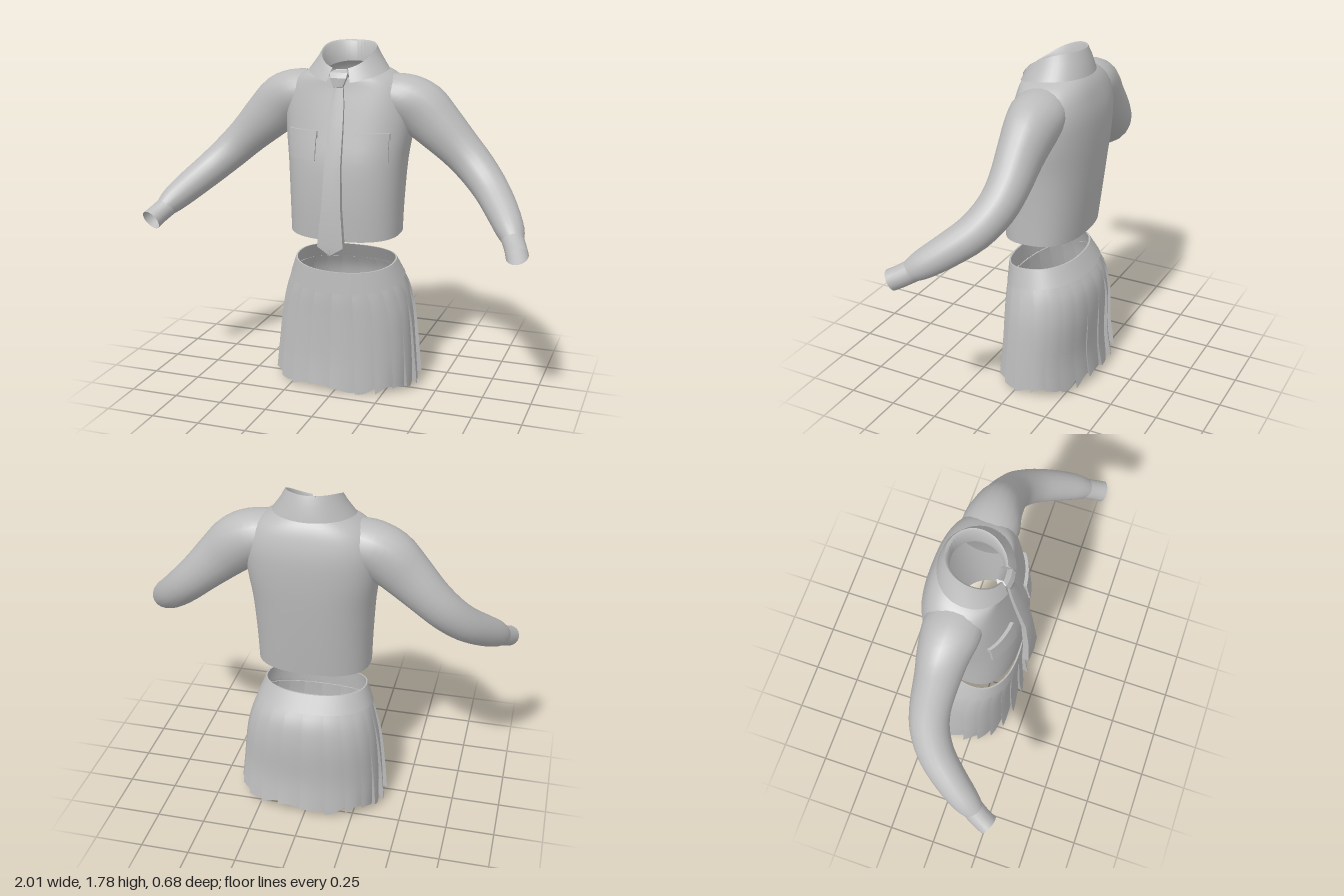
import * as THREE from 'three';
import { toCreasedNormals } from 'three/addons/utils/BufferGeometryUtils.js';

const cloth = new THREE.MeshStandardMaterial({ color: 0xbcbcbc, side: THREE.DoubleSide });
cloth.name = 'grey cloth';

// Skin a list of point rings; a crease angle keeps folds sharp
function loft(rings, closed = true, crease = 0) {
  const n = rings[0].length, index = [];
  for (let i = 0; i < rings.length - 1; i++) {
    for (let j = 0; j < (closed ? n : n - 1); j++) {
      const k = (j + 1) % n, a = i * n + j, b = i * n + k, c = a + n, d = b + n;
      index.push(a, c, b, b, c, d);
    }
  }
  const geo = new THREE.BufferGeometry().setFromPoints(rings.flat());
  geo.setIndex(index);
  geo.computeVertexNormals();
  return crease ? toCreasedNormals(geo, crease) : geo;
}

function add(group, name, geo) {
  const mesh = new THREE.Mesh(geo, cloth);
  mesh.name = name;
  group.add(mesh);
  return mesh;
}

const V = (x, y, z) => new THREE.Vector3(x, y, z);
const spow = (v, p) => Math.sign(v) * Math.abs(v) ** p;

// Rounded-box outline point: half width w, front zf, back zb, front lowered by drop
function outline([y, w, zf, zb, drop = 0], a, n, grow = 0) {
  const s = spow(Math.sin(a), 2 / n), c = spow(Math.cos(a), 2 / n);
  return V((w + grow) * c, y - drop * ((1 + s) / 2) ** 2, (zf + zb) / 2 + ((zf - zb) / 2 + grow) * s);
}
const ring = (row, n, grow, count = 56) =>
  Array.from({ length: count }, (_, j) => outline(row, (j / count) * Math.PI * 2, n, grow));

// Smoothly interpolate a table of rows
function sampleRows(rows, steps) {
  const out = [];
  for (let i = 0; i < rows.length - 1; i++) {
    for (let s = 0; s < steps; s++) {
      const at = (k) => rows[Math.min(Math.max(i + k, 0), rows.length - 1)];
      const t = s / steps;
      out.push(rows[i].map((_, c) => {
        const [p0, p1, p2, p3] = [-1, 0, 1, 2].map((k) => at(k)[c]);
        const m1 = (p2 - p0) / 2, m2 = (p3 - p1) / 2;
        return p1 + m1 * t + (3 * (p2 - p1) - 2 * m1 - m2) * t * t + (2 * (p1 - p2) + m1 + m2) * t ** 3;
      }));
    }
  }
  out.push(rows[rows.length - 1]);
  return out;
}

// Shirt body: y, half width, front z, back z, front drop
const BODY = sampleRows([
  [0.835, 0.288, 0.165, -0.24, 0.02],
  [1.0, 0.293, 0.175, -0.262, 0],
  [1.2, 0.305, 0.168, -0.285, 0],
  [1.35, 0.325, 0.138, -0.297, 0],
  [1.48, 0.33, 0.11, -0.297, 0],
  [1.57, 0.305, 0.09, -0.28, 0],
  [1.63, 0.25, 0.082, -0.258, 0.01],
  [1.67, 0.18, 0.078, -0.228, 0.04],
  [1.69, 0.132, 0.065, -0.195, 0.07],
], 3);

// Front surface of the shirt at x, y
function frontZ(x, y) {
  const i = Math.max(1, BODY.findIndex((r) => r[0] > y));
  const t = (y - BODY[i - 1][0]) / (BODY[i][0] - BODY[i - 1][0]);
  const [, w, f, b] = BODY[i].map((v, c) => THREE.MathUtils.lerp(BODY[i - 1][c], v, t));
  return (f + b) / 2 + ((f - b) / 2) * (1 - Math.min(1, Math.abs(x / w)) ** 2.5) ** 0.4;
}

// Box wrapped over the shirt front
function frontPatch(x, y, w, h, d) {
  const geo = new THREE.BoxGeometry(w, h, d, 8, 4, 1).translate(x, y, 0);
  const p = geo.attributes.position;
  for (let i = 0; i < p.count; i++) p.setZ(i, p.getZ(i) + frontZ(p.getX(i), p.getY(i)));
  return toCreasedNormals(geo, 0.6);
}

// Oval tube through rows of x, y, z, in-plane radius, depth radius
function sleeveTube(rows, side, steps) {
  const pts = sampleRows(rows, steps);
  return loft(pts.map(([x, y, z, ra, rb], i) => {
    const p = pts[Math.max(0, i - 1)], q = pts[Math.min(pts.length - 1, i + 1)];
    const T = V(q[0] - p[0], q[1] - p[1], q[2] - p[2]).normalize();
    const B = V(0, 0, 1).addScaledVector(T, -T.z).normalize();
    const A = B.clone().cross(T);
    return Array.from({ length: 20 }, (_, j) => {
      const a = (j / 20) * Math.PI * 2;
      const v = V(x, y, z).addScaledVector(A, ra * Math.cos(a)).addScaledVector(B, rb * Math.sin(a));
      v.x *= side;
      return v;
    });
  }));
}

const SLEEVE = [
  [0.2, 1.545, -0.09, 0.10, 0.13],
  [0.28, 1.515, -0.095, 0.128, 0.14],
  [0.37, 1.465, -0.1, 0.142, 0.125],
  [0.46, 1.385, -0.1, 0.128, 0.11],
  [0.57, 1.28, -0.1, 0.107, 0.1],
  [0.66, 1.193, -0.08, 0.097, 0.095],
  [0.75, 1.105, -0.02, 0.088, 0.09],
  [0.83, 1.025, 0.08, 0.08, 0.082],
  [0.89, 0.96, 0.175, 0.068, 0.07],
  [0.918, 0.923, 0.23, 0.05, 0.052],
];
const CUFF = [
  [0.91, 0.93, 0.215, 0.054, 0.055],
  [0.935, 0.9, 0.265, 0.053, 0.053],
  [0.953, 0.876, 0.312, 0.055, 0.052],
];

// Folded collar, open at the front and rising to the back
function collar() {
  const rows = [[], [], [], [], []];
  for (let i = 0; i <= 40; i++) {
    const a = (i / 20 - 1) * (Math.PI - 0.3);
    const s = Math.sin(a), c = Math.cos(a), k = (1 - c) / 2;
    const top = 1.785 - 0.115 * k * k;
    const low = 1.665 - 0.06 * k ** 3;
    rows[0].push(V(0.128 * s, 1.68 - 0.07 * k, -0.065 - 0.125 * c));
    rows[1].push(V(0.13 * s, top - 0.008, -0.065 - 0.13 * c));
    rows[2].push(V(0.138 * s, top, -0.067 - 0.142 * c));
    rows[3].push(V(0.16 * s, (top + low) / 2 + 0.012, -0.07 - 0.16 * c));
    rows[4].push(V(0.205 * s, low, -0.068 - 0.178 * c));
  }
  return loft(rows, false, 1);
}

// Flat strip from rows of y, half width, front z, thickness
const strip = (rows) => loft(rows.map(([y, w, z, d]) =>
  [V(-w, y, z - d), V(-w, y, z - 0.006), V(0, y, z), V(w, y, z - 0.006), V(w, y, z - d)]), true, 0.5);

// Skirt: y, half width, front z, back z, front drop, pleat depth
const SKIRT = sampleRows([
  [0.615, 0.292, 0.158, -0.245, 0.07, 0.004],
  [0.53, 0.318, 0.157, -0.285, 0.05, 0.012],
  [0.4, 0.343, 0.155, -0.3, 0.03, 0.018],
  [0.2, 0.36, 0.158, -0.295, 0.03, 0.024],
  [0.045, 0.365, 0.165, -0.31, 0.03, 0.034],
], 4);
const PLEATS = 22;

// One ring of overlapping knife pleats
function pleatRing(row, v) {
  const points = [];
  for (let p = 0; p < PLEATS; p++) {
    for (const t of [0, 0.25, 0.5, 0.75, 1, 1.2]) {
      const a = ((p + 0.4 + t) / PLEATS) * Math.PI * 2;
      const pt = outline(row, a, 2.25, row[5] * (t / 1.2));
      pt.y -= 0.014 * v ** 6 * Math.sin(t * 3 + p * 1.7);
      points.push(pt);
    }
  }
  return points;
}

export function createModel() {
  const model = new THREE.Group();
  model.name = 'outfit';

  const shirt = new THREE.Group();
  shirt.name = 'shirt';
  add(shirt, 'shirtBody', loft(BODY.map((r) => ring(r, 2.5))));
  add(shirt, 'collar', collar());
  for (const side of [1, -1]) {
    const label = side > 0 ? 'left' : 'right';
    add(shirt, label + 'Sleeve', sleeveTube(SLEEVE, side, 3));
    add(shirt, label + 'Cuff', sleeveTube(CUFF, side, 2));
    add(shirt, label + 'Pocket', frontPatch(side * 0.18, 1.29, 0.155, 0.14, 0.02));
    add(shirt, label + 'PocketFlap', frontPatch(side * 0.18, 1.35, 0.165, 0.035, 0.034));
  }

  // Necktie with its knot
  const tie = new THREE.Group();
  tie.name = 'necktie';
  add(tie, 'tieBlade', strip([
    [1.6, 0.022, 0.1, 0.02], [1.5, 0.034, 0.125, 0.022], [1.4, 0.038, 0.15, 0.025],
    [1.2, 0.042, 0.2, 0.03], [1.0, 0.05, 0.222, 0.035], [0.8, 0.068, 0.237, 0.04],
    [0.757, 0.003, 0.236, 0.035],
  ]));
  add(tie, 'tieKnot', strip([
    [1.665, 0.03, 0.075, 0.04], [1.655, 0.045, 0.095, 0.05], [1.63, 0.042, 0.112, 0.05],
    [1.585, 0.024, 0.114, 0.04], [1.58, 0.02, 0.1, 0.02],
  ]));

  // Skirt with waistband
  const skirt = new THREE.Group();
  skirt.name = 'skirt';
  add(skirt, 'pleats', loft(SKIRT.map((r, i) => pleatRing(r, i / (SKIRT.length - 1))), true, 0.7));
  const bandLow = [0.608, 0.305, 0.166, -0.262, 0.075], bandTop = [0.693, 0.268, 0.16, -0.208, 0.045];
  add(skirt, 'waistband', loft([
    ring(bandLow, 2.25, -0.012), ring(bandLow, 2.25, 0),
    ring(bandTop, 2.25, 0), ring(bandTop, 2.25, -0.008),
  ], true, 0.7));

  model.add(shirt, tie, skirt);
  return model;
}
